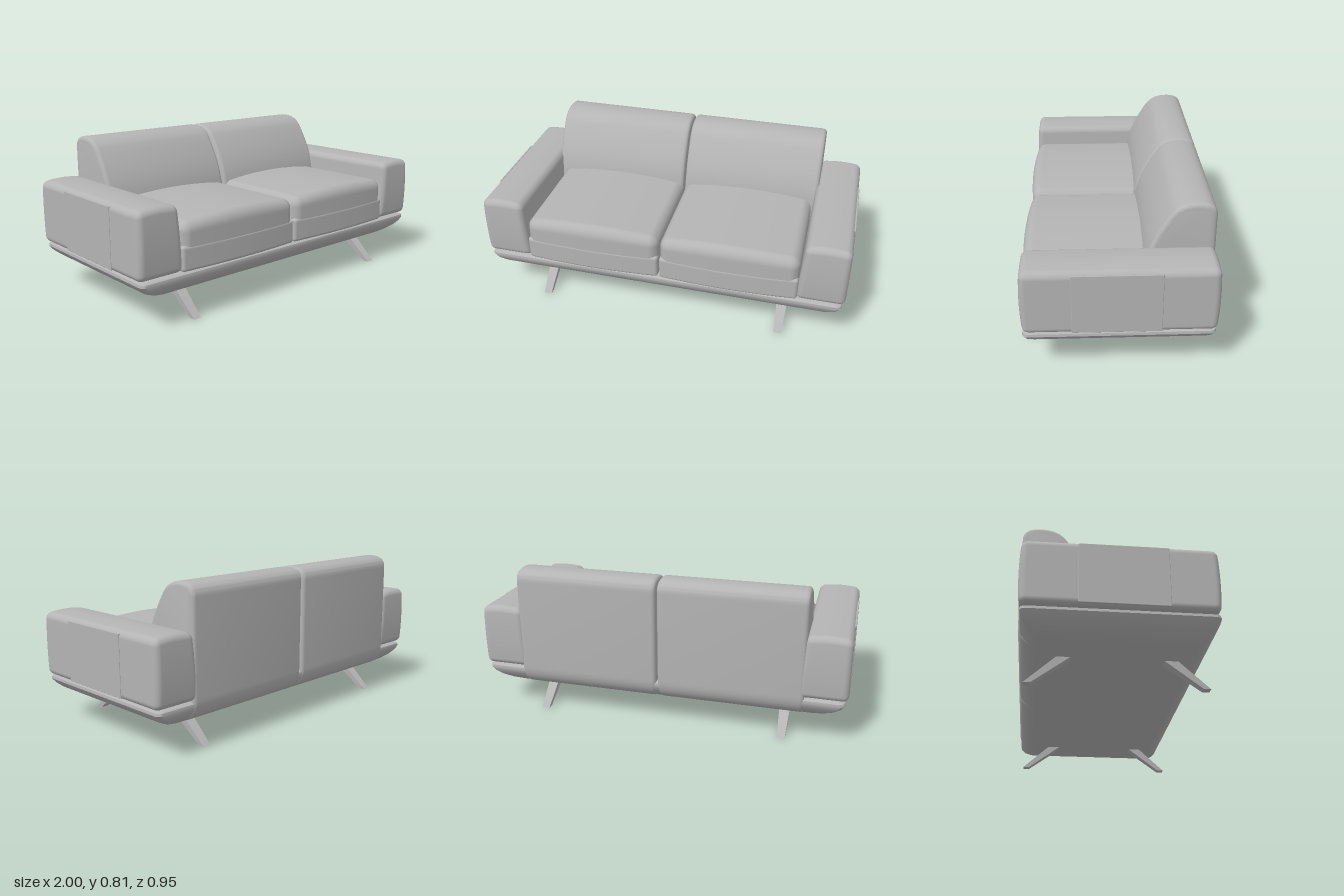
import * as THREE from 'three';
import { mergeVertices, toCreasedNormals } from 'three/addons/utils/BufferGeometryUtils.js';

const upholstery = new THREE.MeshStandardMaterial({ color: 0xb4b4b4 });
upholstery.name = 'grey upholstery';

function add(group, geometry, name) {
  const mesh = new THREE.Mesh(geometry, upholstery);
  mesh.name = name;
  group.add(mesh);
  return mesh;
}

// Rounded box between two corners, with an optional rule that moves its points
function softBox(min, max, r, shape) {
  const N = 20, K = 5;
  let geo = new THREE.BoxGeometry(2, 2, 2, N, N, N);
  geo.deleteAttribute('normal');
  geo.deleteAttribute('uv');
  geo = mergeVertices(geo);
  const pos = geo.attributes.position;
  const half = max.map((m, i) => (m - min[i]) / 2);
  const mid = max.map((m, i) => (m + min[i]) / 2);
  for (let i = 0; i < pos.count; i++) {
    const inner = new THREE.Vector3(), out = new THREE.Vector3();
    for (let a = 0; a < 3; a++) {
      // gather the outer K grid rows in the rounded corners
      const t = pos.getComponent(i, a), s = Math.sign(t);
      const step = Math.abs(t) * N / 2, flat = N / 2 - K;
      inner.setComponent(a, s * (half[a] - r) * Math.min(1, step / flat));
      out.setComponent(a, s * Math.tan(Math.max(0, step - flat) / K * Math.PI / 4));
    }
    const p = inner.add(out.normalize().multiplyScalar(r));
    if (shape) shape(p, p.x / half[0], p.y / half[1], p.z / half[2]);
    pos.setXYZ(i, p.x + mid[0], p.y + mid[1], p.z + mid[2]);
  }
  geo.computeVertexNormals();
  return geo;
}

// Plinth: rounded rectangles stacked from the underside up to the rim
function plinthGeometry() {
  const rows = [
    [0.135, 0.8, 0.35], [0.14, 0.84, 0.38], [0.157, 0.89, 0.408], [0.18, 0.935, 0.434],
    [0.205, 0.965, 0.453], [0.228, 0.982, 0.461], [0.242, 0.98, 0.459], [0.25, 0.965, 0.447]
  ];
  const C = 6, ring = 4 * (C + 1), r = 0.03, pts = [], idx = [];
  for (const [y, hx, hz] of rows) {
    for (let q = 0; q < 4; q++) for (let c = 0; c <= C; c++) {
      const a = (q + c / C) * Math.PI / 2;
      const sx = q === 0 || q === 3 ? 1 : -1, sz = q < 2 ? 1 : -1;
      pts.push(sx * (hx - r) + r * Math.cos(a), y, sz * (hz - r) + r * Math.sin(a) - 0.005);
    }
  }
  for (let j = 0; j < rows.length - 1; j++) for (let i = 0; i < ring; i++) {
    const a = j * ring + i, b = j * ring + (i + 1) % ring;
    idx.push(a, a + ring, b, b, a + ring, b + ring);
  }
  const top = (rows.length - 1) * ring;
  for (let i = 1; i < ring - 1; i++) idx.push(0, i, i + 1, top, top + i + 1, top + i);
  const geo = new THREE.BufferGeometry();
  geo.setAttribute('position', new THREE.Float32BufferAttribute(pts, 3));
  geo.setIndex(idx);
  return toCreasedNormals(geo, 0.7);
}

// Backrest: side profile (drawn as -z, y) extruded across the width
function backGeometry(width) {
  const s = new THREE.Shape();
  s.moveTo(0.30, 0.17);
  s.lineTo(0.38, 0.14);
  s.bezierCurveTo(0.43, 0.15, 0.472, 0.19, 0.472, 0.26);
  s.lineTo(0.472, 0.745);
  s.bezierCurveTo(0.472, 0.79, 0.445, 0.812, 0.38, 0.812);
  s.bezierCurveTo(0.31, 0.812, 0.275, 0.785, 0.25, 0.75);
  s.quadraticCurveTo(0.18, 0.65, 0.15, 0.56);
  s.lineTo(0.115, 0.44);
  s.lineTo(0.13, 0.34);
  s.closePath();
  const b = 0.022;
  const geo = new THREE.ExtrudeGeometry(s, {
    depth: width - 2 * b, bevelSize: b, bevelThickness: b, bevelOffset: -b,
    bevelSegments: 5, curveSegments: 14
  });
  geo.translate(0, 0, b - width / 2);
  geo.rotateY(Math.PI / 2);
  return toCreasedNormals(geo, 0.6);
}

// Splayed, tapered leg from the floor to the underside
function legGeometry(side, end) {
  const geo = new THREE.BoxGeometry(1, 1, 1);
  const pos = geo.attributes.position;
  for (let i = 0; i < pos.count; i++) {
    const up = pos.getY(i) > 0, outer = pos.getZ(i) * end > 0;
    const z = up ? (outer ? 0.29 : 0.22) : (outer ? 0.455 : 0.42);
    pos.setXYZ(i, side * 0.667 + pos.getX(i) * (up ? 0.06 : 0.042), up ? 0.145 : 0,
      z * end + (end < 0 ? 0.015 : 0));
  }
  geo.computeVertexNormals();
  return geo;
}

export function createModel() {
  const sofa = new THREE.Group();
  sofa.name = 'sofa';
  add(sofa, plinthGeometry(), 'plinth');

  for (const side of [1, -1]) {
    const label = side > 0 ? 'left' : 'right';
    const span = (a, b) => side > 0 ? [a, b] : [-b, -a];

    // Armrest, gently crowned and leaning inwards at the top
    const [ax, bx] = span(0.752, 0.996);
    add(sofa, softBox([ax, 0.253, -0.467], [bx, 0.585, 0.452], 0.032, (p, u, v, w) => {
      if (v > 0) p.y += 0.011 * v * (1 - u * u);
      p.z += 0.008 * w * (1 - v * v);
      if (u * side < 0) p.x += side * 0.012 * v;
    }), label + 'Arm');

    // Panel sewn on the outer face of the arm
    const [px, qx] = span(0.99, 0.9995);
    add(sofa, softBox([px, 0.262, -0.205], [qx, 0.575, 0.22], 0.003), label + 'ArmPanel');

    // Seat: crowned upper pad over a slightly wider lower pad
    const [cx, dx] = span(0.004, 0.748);
    const bulge = (p, u, v, w) => { if (w > 0) p.z += 0.018 * w * (1 - u * u); };
    add(sofa, softBox([cx, 0.252, -0.28], [dx, 0.38, 0.454], 0.016, bulge), label + 'SeatBase');
    add(sofa, softBox([cx, 0.31, -0.28], [dx, 0.492, 0.452], 0.05, (p, u, v, w) => {
      bulge(p, u, v, w);
      if (v > 0) p.y += 0.025 * v * (1 - u * u);
    }), label + 'SeatPad');

    // Backrest
    const back = add(sofa, backGeometry(0.772), label + 'Back');
    back.position.x = side * 0.39;

    add(sofa, legGeometry(side, 1), label + 'FrontLeg');
    add(sofa, legGeometry(side, -1), label + 'BackLeg');
  }
  return sofa;
}
